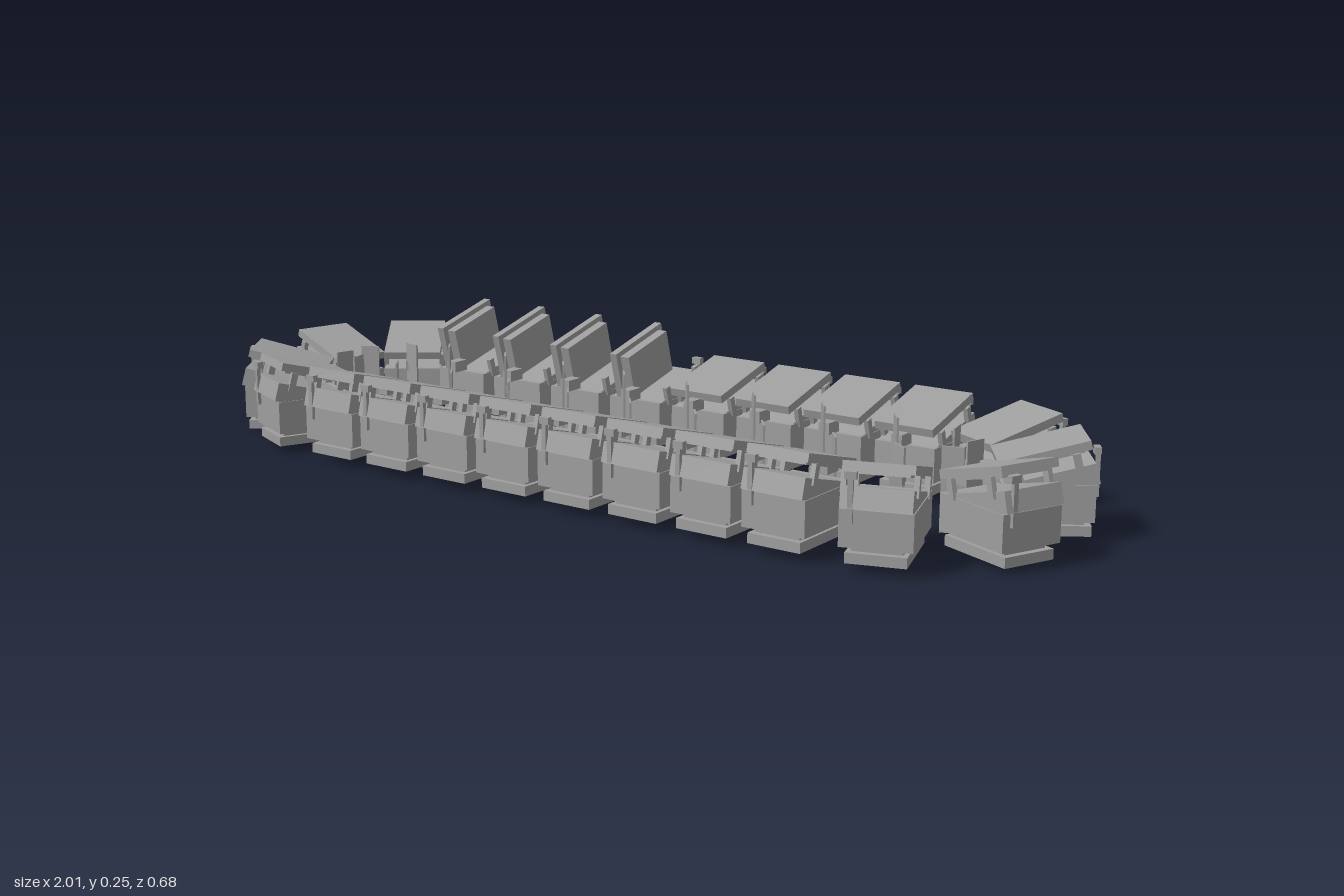
import * as THREE from 'three';

const material = new THREE.MeshStandardMaterial({ color: 0x9e9e9e, flatShading: true });

// Box given by its size and centre
function box(parent, name, w, h, d, x, y, z) {
  const mesh = new THREE.Mesh(new THREE.BoxGeometry(w, h, d), material);
  mesh.name = name;
  mesh.position.set(x, y, z);
  parent.add(mesh);
  return mesh;
}

// One lidded bin: local +z points out of the ring, the lid hinges on +x
function createBin(open) {
  const bin = new THREE.Group();
  bin.name = open ? 'openBin' : 'closedBin';
  box(bin, 'base', 0.112, 0.02, 0.165, 0, 0.025, 0);
  box(bin, 'plinth', 0.094, 0.014, 0.14, 0, 0.04, 0);
  box(bin, 'body', 0.134, 0.07, 0.172, 0, 0.08, 0);

  // Upper part tilts so that its outer end is higher
  const tilted = new THREE.Group();
  tilted.name = 'tiltedTop';
  tilted.position.y = 0.135;
  tilted.rotation.x = -0.26;
  bin.add(tilted);
  box(tilted, 'tray', 0.13, 0.04, 0.172, 0, -0.02, 0);
  for (const s of [-1, 1]) {
    box(tilted, 'hinge', 0.01, 0.04, 0.014, 0.064, 0.007, s * 0.055);
    box(tilted, 'sideClip', 0.01, 0.04, 0.014, -0.066, 0.007, s * 0.055);
  }

  // Thin lid held above the tray, so its underside shows at the outer end
  const lid = new THREE.Group();
  lid.name = 'lid';
  const panelHeight = open ? 0.022 : 0.005;
  box(lid, 'lidPlate', 0.13, 0.017, 0.172, -0.065, 0.0355, 0);
  box(lid, 'lidPanel', 0.108, panelHeight, 0.145, -0.065, 0.027 - panelHeight / 2, 0);
  if (open) {
    lid.rotation.z = -Math.PI / 2;
    lid.position.set(0.005, -0.025, 0);
  } else {
    lid.position.set(0.065, 0, 0);
  }
  tilted.add(lid);

  // Latch on the outer end
  box(bin, 'latchPost', 0.01, 0.09, 0.008, -0.046, 0.135, 0.089);
  box(bin, 'latchHead', 0.022, 0.014, 0.012, -0.046, 0.178, 0.087);

  // Inner arm carrying an upright, diagonal blade
  box(bin, 'arm', 0.024, 0.024, 0.04, 0, 0.13, -0.1);
  const blade = box(bin, 'blade', 0.004, 0.165, 0.042, -0.004, 0.1, -0.13);
  blade.rotation.y = 0.68;
  return bin;
}

export function createModel() {
  const model = new THREE.Group();
  model.name = 'binRing';
  const place = (x, y, z, degrees, open = false) => {
    const bin = createBin(open);
    bin.position.set(x, y, z);
    bin.rotation.y = THREE.MathUtils.degToRad(degrees);
    model.add(bin);
  };

  // Two straight rows; the first four of the back row stand open
  for (let i = 0; i < 8; i++) {
    place(-0.537 + i * 0.158, 0.004, 0.246, 0);
    place(-0.602 + i * 0.166, -0.005, -0.25, 180, i < 4);
  }

  // Curved ends: x, y, z, outward angle
  const ends = [
    [0.74, 0.002, 0.227, 18],
    [0.895, -0.002, 0.09, 67],
    [0.89, -0.002, -0.1, 123],
    [0.757, -0.004, -0.227, 153],
    [-0.785, -0.013, -0.21, 217],
    [-0.9, -0.015, -0.07, -104],
    [-0.87, -0.012, 0.125, -55],
    [-0.714, 0, 0.227, -23],
  ];
  for (const e of ends) place(...e);
  return model;
}
